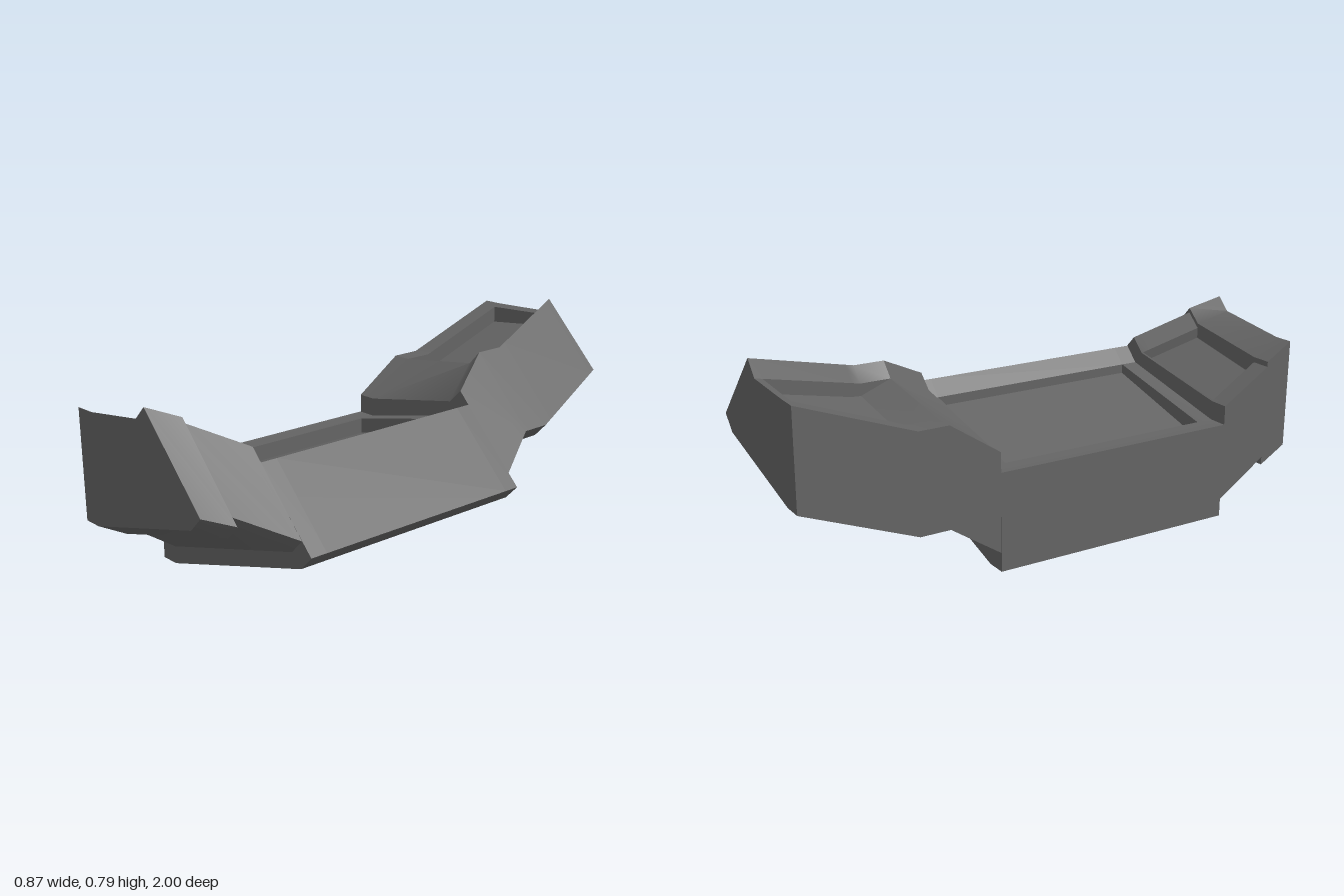
import * as THREE from 'three';
import { toCreasedNormals } from 'three/addons/utils/BufferGeometryUtils.js';

// One cross-section: left x, bottom y, outer corner, ridge, inner rim edge, top-left y, recess depth [left, right]
const station = (z, left, bottom, corner, ridge, rim, top, depth = [0, 0]) =>
  ({ z, left, bottom, corner, ridge, rim, top, depth });

const lerp = (a, b, t) => Array.isArray(a) ? a.map((v, i) => lerp(v, b[i], t)) : a + (b - a) * t;

// Section between two others at a given z
function between(a, b, z, depth = [0, 0]) {
  const t = (z - a.z) / (b.z - a.z), out = {};
  for (const k in a) out[k] = lerp(a[k], b[k], t);
  out.depth = depth;
  return out;
}

// Ring of points, counter-clockwise seen from the front
function ring(s) {
  const [cx, cy] = s.corner, [rx, ry] = s.rim, flat = s.left + 0.075;
  return [
    [s.left, s.bottom], [flat, s.bottom], [cx - 0.053, cy - 0.054], s.corner, s.ridge,
    s.rim, [rx, ry - s.depth[1]], [flat, s.top - s.depth[0]], [flat, s.top], [s.left, s.top],
  ];
}

// Hull through the sections, closed at both ends, soft only over shallow bends
function loft(stations) {
  const pos = [], rings = stations.map(ring);
  const put = (s, i) => pos.push(...rings[s][i], stations[s].z);
  const n = rings[0].length;
  for (let s = 0; s < rings.length - 1; s++) {
    for (let i = 0; i < n; i++) {
      const j = (i + 1) % n;
      put(s, i); put(s, j); put(s + 1, j);
      put(s, i); put(s + 1, j); put(s + 1, i);
    }
  }
  const keep = [0, 1, 2, 3, 4, 5, 8, 9];
  for (const s of [0, rings.length - 1]) {
    const outline = keep.map(i => new THREE.Vector2(...rings[s][i]));
    for (const [a, b, c] of THREE.ShapeUtils.triangulateShape(outline, [])) {
      for (const i of s ? [a, b, c] : [a, c, b]) put(s, keep[i]);
    }
  }
  const geo = new THREE.BufferGeometry();
  geo.setAttribute('position', new THREE.Float32BufferAttribute(pos, 3));
  return toCreasedNormals(geo, 0.55);
}

export function createModel() {
  const group = new THREE.Group();
  const grey = new THREE.MeshStandardMaterial({ color: 0x646464 });
  grey.name = 'dark grey';
  const add = (name, stations) => {
    const mesh = new THREE.Mesh(loft(stations), grey);
    mesh.name = name;
    group.add(mesh);
  };

  // Rear section rising to the back, with a recess whose floor ramps out at the crest
  const rearDepth = [0.065, 0.05];
  const tail = station(-1, -0.41, 0.365, [0.19, 0.53], [-0.06, 0.785], [-0.11, 0.73], 0.722);
  const bend = station(-0.58, -0.42, 0.2, [0.3, 0.41], [0.05, 0.67], [0, 0.617], 0.567, [0.05, 0.045]);
  const crest = station(-0.465, -0.42, 0.2, [0.3, 0.41], [0.05, 0.67], [0, 0.617], 0.567);
  const rearFoot = station(-0.27, -0.42, 0.07, [0.39, 0.31], [0.14, 0.572], [0.085, 0.52], 0.437);
  add('rearSection', [tail, between(tail, bend, -0.97), between(tail, bend, -0.97, rearDepth),
    between(tail, bend, -0.62, rearDepth), bend, crest, rearFoot]);

  // Central block with a rectangular recess below the raised ridge
  const centreDepth = [0.06, 0.035];
  const back = station(-0.27, -0.423, 0, [0.435, 0.27], [0.182, 0.528], [0.125, 0.472], 0.365);
  const front = station(0.695, -0.432, 0, [0.425, 0.27], [0.175, 0.528], [0.12, 0.472], 0.365);
  add('centreBlock', [back, between(back, front, -0.21), between(back, front, -0.21, centreDepth),
    between(back, front, 0.63, centreDepth), between(back, front, 0.63), front]);

  // Front section, its recess sloping in behind the block and running up to the end plate
  const frontDepth = [0.05, 0.04];
  const frontFoot = station(0.695, -0.432, 0.067, [0.38, 0.315], [0.135, 0.572], [0.08, 0.52], 0.437);
  const frontTop = station(0.89, -0.435, 0.2, [0.28, 0.42], [0.03, 0.672], [-0.025, 0.62], 0.56, frontDepth);
  add('frontSection', [frontFoot, between(frontFoot, frontTop, 0.7),
    between(frontFoot, frontTop, 0.72, frontDepth), frontTop]);

  // Slightly oversized end plate
  add('frontPlate', [
    station(0.89, -0.435, 0.17, [0.305, 0.395], [0.03, 0.69], [-0.025, 0.638], 0.58),
    station(1, -0.432, 0.23, [0.266, 0.44], [-0.02, 0.735], [-0.07, 0.685], 0.643),
  ]);
  return group;
}
